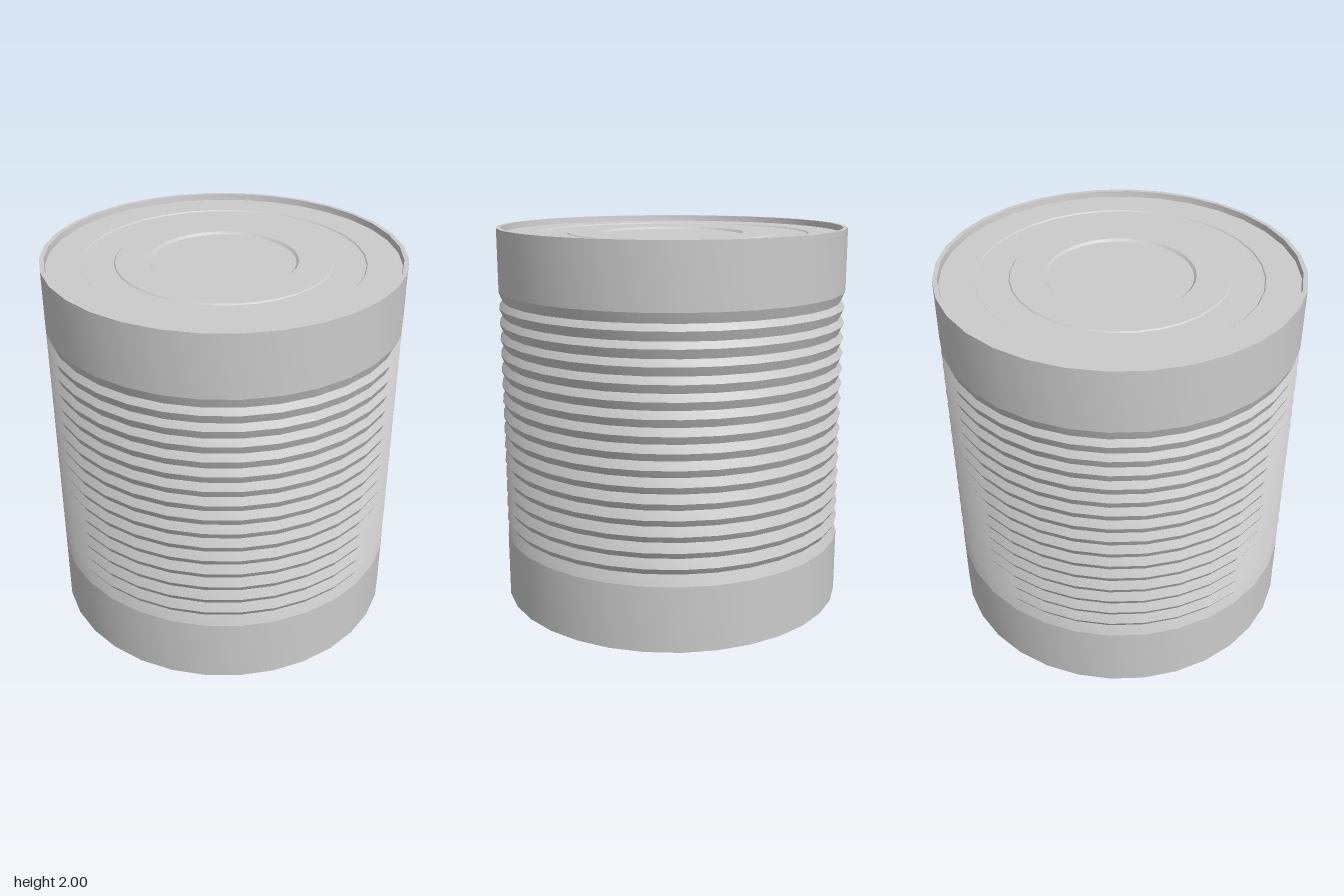
import * as THREE from 'three';
import { toCreasedNormals } from 'three/addons/utils/BufferGeometryUtils.js';

const SIDES = 32;
const HEIGHT = 2;
const RIBS = 15;

export function createModel() {
  const can = new THREE.Group();
  can.name = 'tinCan';
  const metal = new THREE.MeshStandardMaterial({ color: 0xcccccc });

  // Turned part from [radius, height] pairs, smooth around and sharp at creases
  function addTurned(name, profile) {
    const points = profile.map(([r, y]) => new THREE.Vector2(r, y));
    const geometry = toCreasedNormals(new THREE.LatheGeometry(points, SIDES), 0.25);
    const mesh = new THREE.Mesh(geometry, metal);
    mesh.name = name;
    can.add(mesh);
  }

  // Wall: plain bands at both ends, ribs between them
  const wall = [[0.92, 0], [0.92, 0.345]];
  for (let i = 0; i < RIBS; i++) {
    wall.push([0.9, 0.403 + i * 0.0813], [0.92, 0.435 + i * 0.0825]);
  }
  wall.push([0.9, 1.623], [0.92, 1.675], [0.92, HEIGHT]);
  addTurned('ribbedWall', wall);

  // Lid: rim, recess and stepped rings, from the outer edge to the centre
  const lid = [
    [0.92, HEIGHT], [0.897, HEIGHT], [0.893, 1.968],
    [0.72, 1.968], [0.714, 1.962],
    [0.553, 1.962], [0.547, 1.968],
    [0.378, 1.968], [0.366, 1.956], [0, 1.956],
  ];
  addTurned('topLid', lid);

  // The base mirrors the lid
  addTurned('bottomLid', lid.map(([r, y]) => [r, HEIGHT - y]).reverse());

  return can;
}
